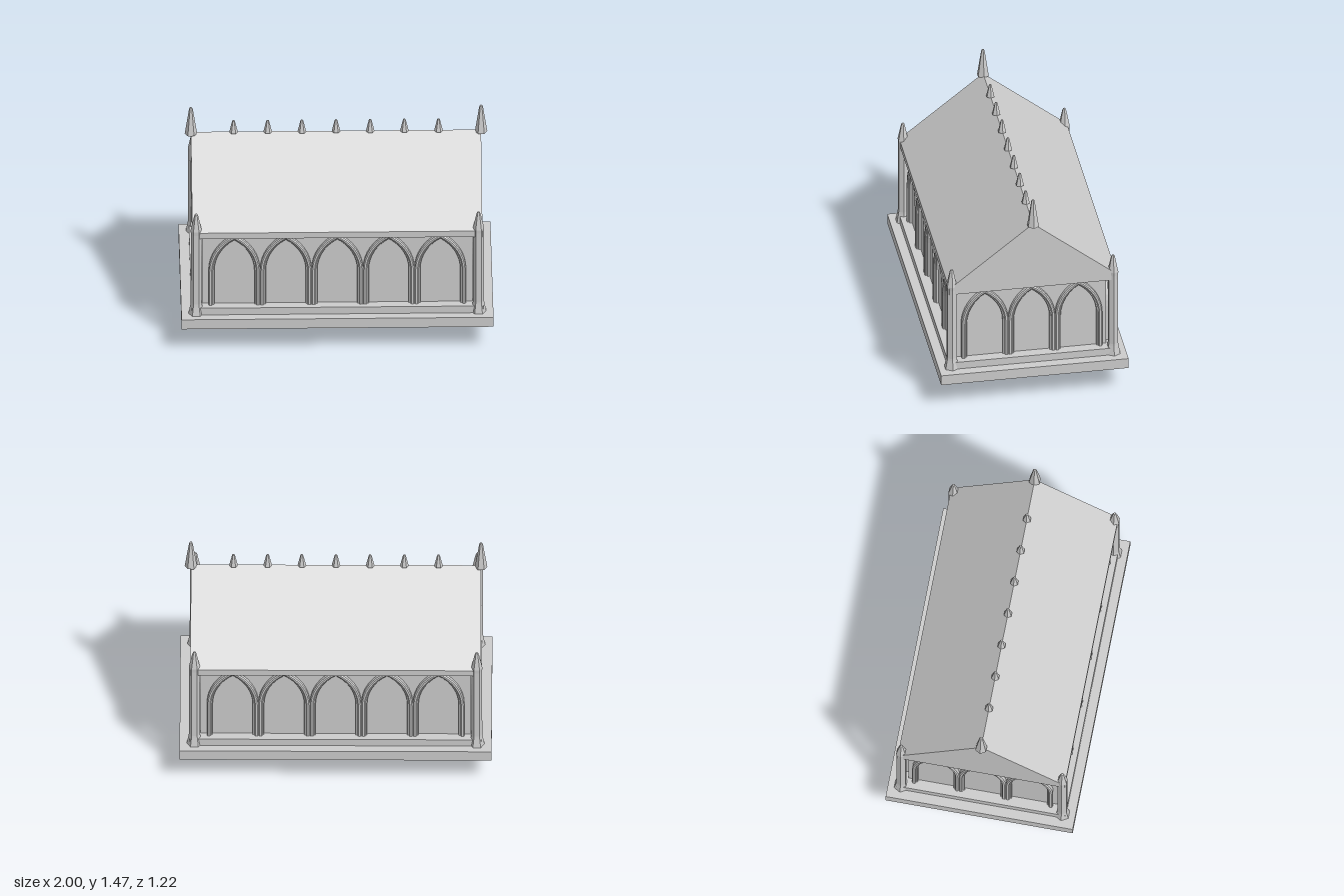
import * as THREE from 'three';

const stone = new THREE.MeshStandardMaterial({ color: 0xcccccc, flatShading: true });
stone.name = 'pale grey stone';

function add(parent, name, geometry, x = 0, y = 0, z = 0) {
  const mesh = new THREE.Mesh(geometry, stone);
  mesh.name = name;
  mesh.position.set(x, y, z);
  parent.add(mesh);
  return mesh;
}

// Six-sided turned piece, corners pointing along x
function hexTurned(profile) {
  const points = profile.map(([r, y]) => new THREE.Vector2(r, y));
  return new THREE.LatheGeometry(points, 6, Math.PI / 2);
}

const FOOT = 0.285, SPRING = 0.55;

// Outline of a pointed arch from left foot over the apex to the right foot
function archLine(halfWidth, apexY, steps = 8) {
  const rise = apexY - SPRING;
  const c = (rise * rise - halfWidth * halfWidth) / (2 * halfWidth);
  const radius = halfWidth + c;
  const end = Math.atan2(rise, c);
  const right = [];
  for (let i = 0; i <= steps; i++) {
    const a = end * (1 - i / steps);
    right.push(new THREE.Vector2(radius * Math.cos(a) - c, SPRING + radius * Math.sin(a)));
  }
  right[0].x = 0;
  right.push(new THREE.Vector2(halfWidth, FOOT));
  const left = right.slice(1).reverse().map((p) => new THREE.Vector2(-p.x, p.y));
  return [...left, ...right];
}

// Band between two arch outlines, standing out from the wall
function archBand(outer, inner, depth, bevel) {
  const shape = new THREE.Shape([...archLine(...outer), ...archLine(...inner).reverse()]);
  return new THREE.ExtrudeGeometry(shape, {
    depth: depth - bevel, bevelEnabled: true, bevelSegments: 1,
    bevelSize: bevel, bevelThickness: bevel, bevelOffset: -bevel,
  });
}

// Row of arches facing +z, to be turned onto each wall
function arcade(name, count, pitch, halfWidth, apexY, wallDistance, angle) {
  const row = new THREE.Group();
  row.name = name;
  const rim = archBand([halfWidth, apexY], [halfWidth - 0.026, apexY - 0.026], 0.03, 0.007);
  const reveal = archBand([halfWidth - 0.022, apexY - 0.022], [halfWidth - 0.037, apexY - 0.036], 0.016, 0.003);
  for (let i = 0; i < count; i++) {
    const x = (i - (count - 1) / 2) * pitch;
    add(row, 'archRim', rim, x, 0, wallDistance);
    add(row, 'archReveal', reveal, x, 0, wallDistance);
  }
  row.rotation.y = angle;
  return row;
}

export function createModel() {
  const model = new THREE.Group();
  model.name = 'gabledShrine';

  // Base slab, plinth and walls
  add(model, 'baseSlab', new THREE.BoxGeometry(2, 0.07, 1.22), 0, 0.215, 0);
  add(model, 'plinth', new THREE.BoxGeometry(1.87, 0.05, 1.1), 0, 0.275, 0);
  add(model, 'walls', new THREE.BoxGeometry(1.732, 0.52, 0.972), 0, 0.555, 0);

  // Gabled roof with upright eaves, running along x
  const gable = new THREE.Shape([
    [-0.545, 0.81], [0.545, 0.81], [0.545, 0.853], [0, 1.288], [-0.545, 0.853],
  ].map(([x, y]) => new THREE.Vector2(x, y)));
  const roof = new THREE.ExtrudeGeometry(gable, { depth: 1.86, bevelEnabled: false });
  roof.translate(0, 0, -0.93);
  roof.rotateY(Math.PI / 2);
  add(model, 'roof', roof);

  // Arcades on the four walls
  for (const [side, angle] of [['front', 0], ['back', Math.PI]]) {
    model.add(arcade(side + 'Arcade', 5, 0.33, 0.165, 0.81, 0.486, angle));
  }
  for (const [side, angle] of [['left', Math.PI / 2], ['right', -Math.PI / 2]]) {
    model.add(arcade(side + 'Arcade', 3, 0.305, 0.153, 0.8, 0.866, angle));
  }

  // Corner columns with flared feet and spires
  const column = hexTurned([
    [0, 0.25], [0.05, 0.25], [0.047, 0.265], [0.037, 0.315], [0.035, 0.33], [0.034, 0.84],
    [0.036, 0.865], [0.013, 0.972], [0.008, 0.983], [0, 0.985],
  ]);
  for (const x of [-0.905, 0.905]) {
    for (const z of [-0.525, 0.525]) add(model, 'cornerColumn', column, x, 0, z);
  }

  // Ridge finials: tall at the gables, small between
  const tall = hexTurned([[0, 1.276], [0.04, 1.276], [0.012, 1.458], [0.008, 1.468], [0, 1.47]]);
  const small = hexTurned([[0, 1.28], [0.028, 1.284], [0.01, 1.362], [0.007, 1.37], [0, 1.371]]);
  for (const x of [-0.93, 0.93]) add(model, 'gableFinial', tall, x);
  for (let i = -3; i <= 3; i++) add(model, 'ridgeFinial', small, i * 0.219);

  // Half-round tab under the base
  const half = new THREE.Shape();
  half.moveTo(-0.176, 0.2);
  half.lineTo(-0.176, 0.176);
  half.absarc(0, 0.176, 0.176, Math.PI, Math.PI * 2, false);
  half.lineTo(0.176, 0.2);
  const tab = new THREE.ExtrudeGeometry(half, {
    depth: 0.005, curveSegments: 32, bevelEnabled: true, bevelSegments: 1,
    bevelSize: 0.014, bevelThickness: 0.004, bevelOffset: -0.014,
  });
  add(model, 'mountingTab', tab, 0, 0, -0.0105);

  return model;
}
